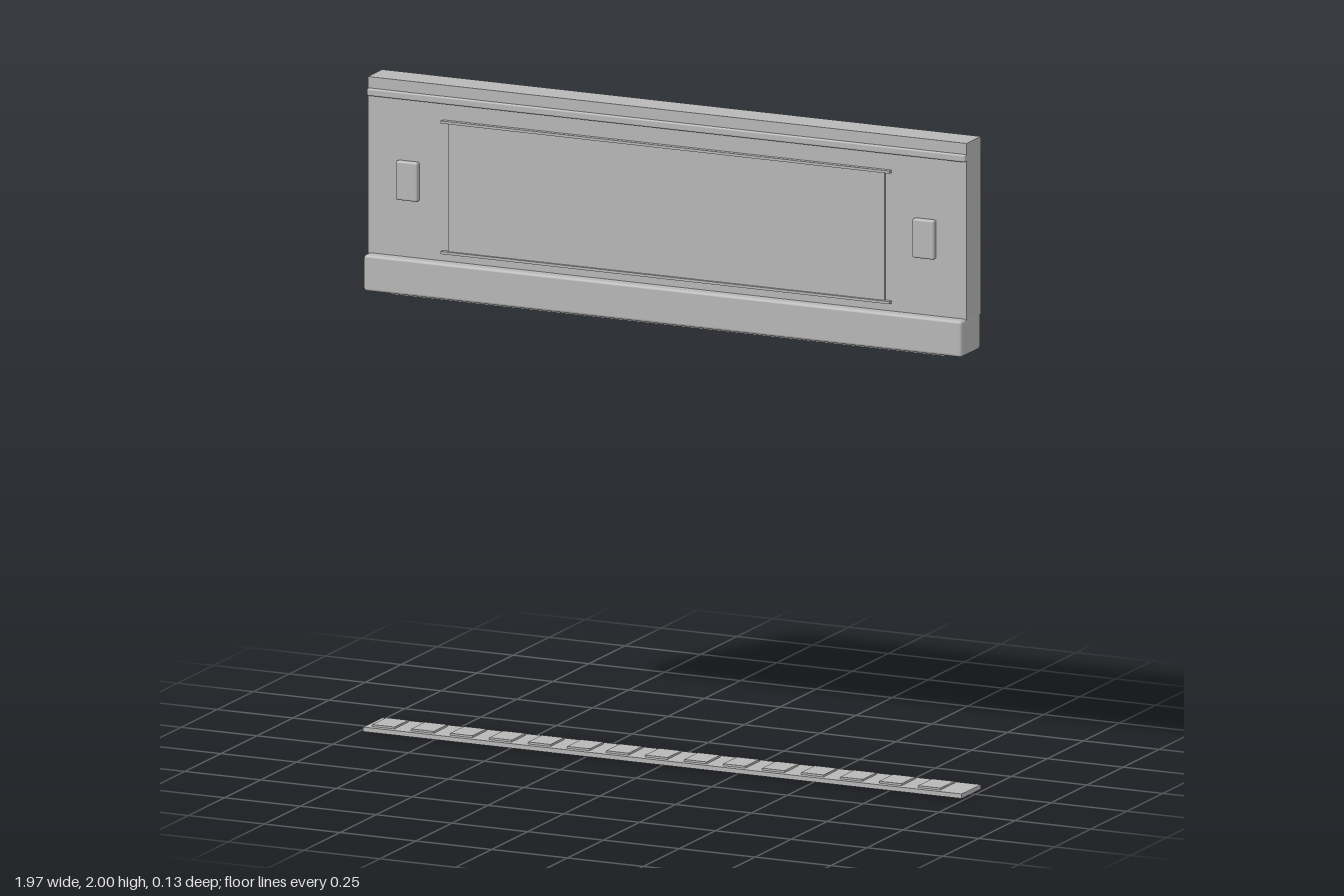
import * as THREE from 'three';
import { RoundedBoxGeometry } from 'three/addons/geometries/RoundedBoxGeometry.js';

export function createModel() {
  const group = new THREE.Group();
  const grey = new THREE.MeshStandardMaterial({ color: 0xb8b8b8 });
  grey.name = 'grey';

  // Box given by its min/max extents; radius rounds the edges
  function box(name, [x0, x1], [y0, y1], [z0, z1], radius = 0) {
    const size = [x1 - x0, y1 - y0, z1 - z0];
    const geometry = radius
      ? new RoundedBoxGeometry(...size, 2, radius)
      : new THREE.BoxGeometry(...size);
    const mesh = new THREE.Mesh(geometry, grey);
    mesh.name = name;
    mesh.position.set((x0 + x1) / 2, (y0 + y1) / 2, (z0 + z1) / 2);
    group.add(mesh);
  }

  const W = 0.987;
  const full = [-W, W];

  // Upper housing with its trim strip
  box('housing', full, [1.455, 2], [-0.066, 0.033]);
  box('topTrim', full, [1.943, 1.966], [0.03, 0.043], 0.005);

  // Raised front panel between two thin rails
  box('frontPanel', [-0.72, 0.72], [1.49, 1.888], [0.03, 0.04]);
  for (const y of [1.489, 1.889]) {
    box('panelRail', [-0.74, 0.74], [y - 0.004, y + 0.004], [0.03, 0.048]);
  }

  // Side buttons
  for (const s of [-1, 1]) {
    box('button', [s * 0.852 - 0.036, s * 0.852 + 0.036], [1.636, 1.756], [0.03, 0.052], 0.006);
  }

  // Lower bar and the outlet strip beneath it
  box('lowerBar', full, [1.35, 1.461], [-0.066, 0.066], 0.009);
  box('outletStrip', [-0.915, 0.915], [1.34, 1.36], [-0.03, 0.03]);

  // Floor track with a row of raised plates
  box('floorTrack', full, [0, 0.014], [-0.066, 0.066]);
  for (let i = 0; i < 15; i++) {
    const x = -0.929 + i * 0.1286;
    box('trackPlate', [x - 0.037, x + 0.037], [0.012, 0.02], [-0.048, 0.048]);
  }

  return group;
}
